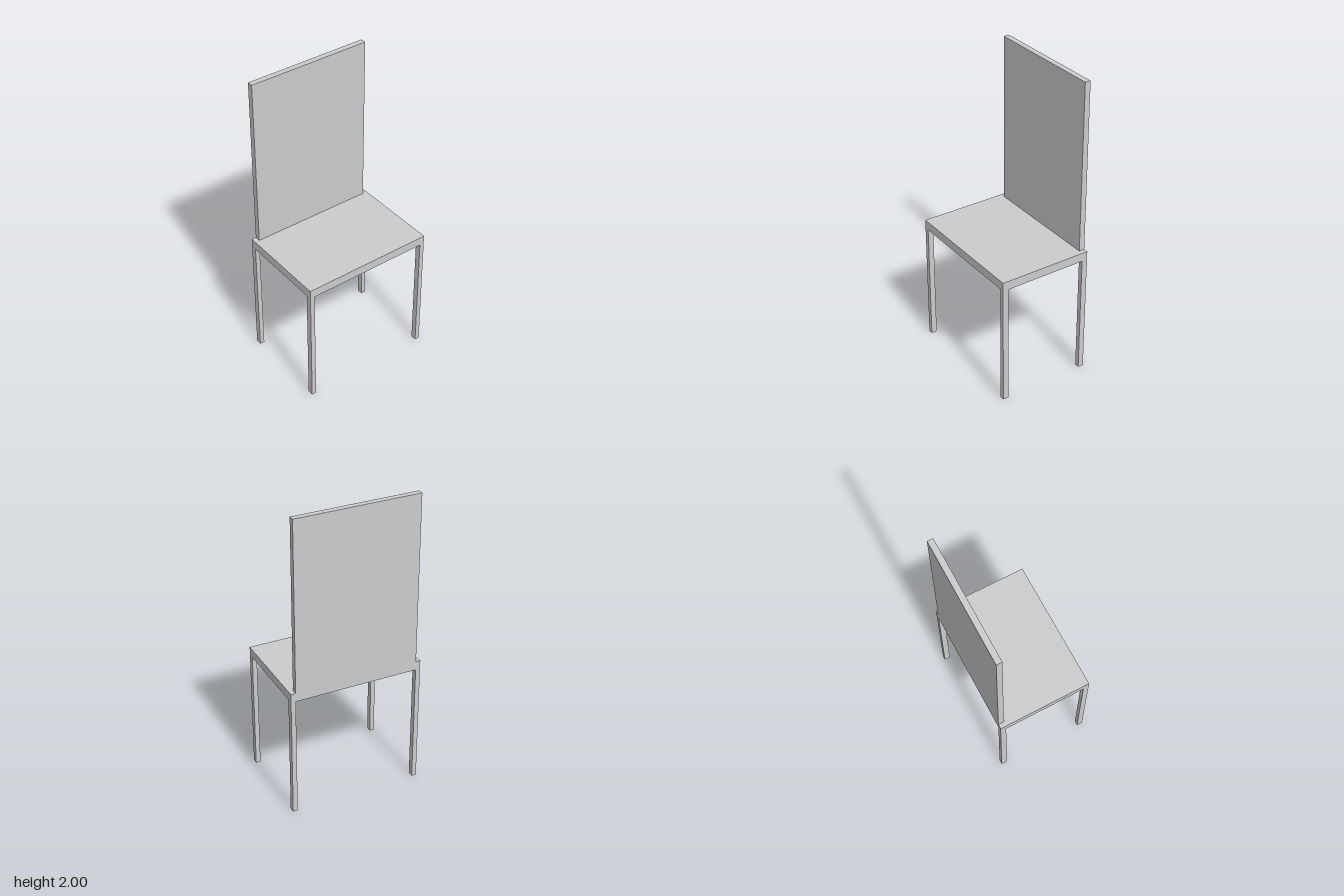
import * as THREE from 'three';

export function createModel() {
  const chair = new THREE.Group();
  chair.name = 'chair';
  const material = new THREE.MeshStandardMaterial({ color: 0xcccccc });

  // Overall half-width, half-depth and key heights
  const halfX = 0.312, halfZ = 0.441;
  const seatBottom = 0.81, seatTop = 0.868, top = 2;
  const legX = 0.038, legZ = 0.031;

  // Adds a box spanning y0..y1, centred at x, z
  function addBox(name, width, depth, y0, y1, x, z) {
    const mesh = new THREE.Mesh(new THREE.BoxGeometry(width, y1 - y0, depth), material);
    mesh.name = name;
    mesh.position.set(x, (y0 + y1) / 2, z);
    chair.add(mesh);
  }

  // Seat slab
  addBox('seat', halfX * 2, halfZ * 2, seatBottom, seatTop, 0, 0);

  // Tall backrest panel along the -x edge, inset at both ends
  addBox('backrest', legX, (halfZ - legZ) * 2, seatTop, top, -halfX + legX / 2, 0);

  // Four legs flush with the seat corners
  for (const sx of [-1, 1]) {
    for (const sz of [-1, 1]) {
      const name = (sx < 0 ? 'backrestSide' : 'openSide') + (sz < 0 ? 'RearLeg' : 'FrontLeg');
      addBox(name, legX, legZ, 0, seatBottom, sx * (halfX - legX / 2), sz * (halfZ - legZ / 2));
    }
  }

  return chair;
}
